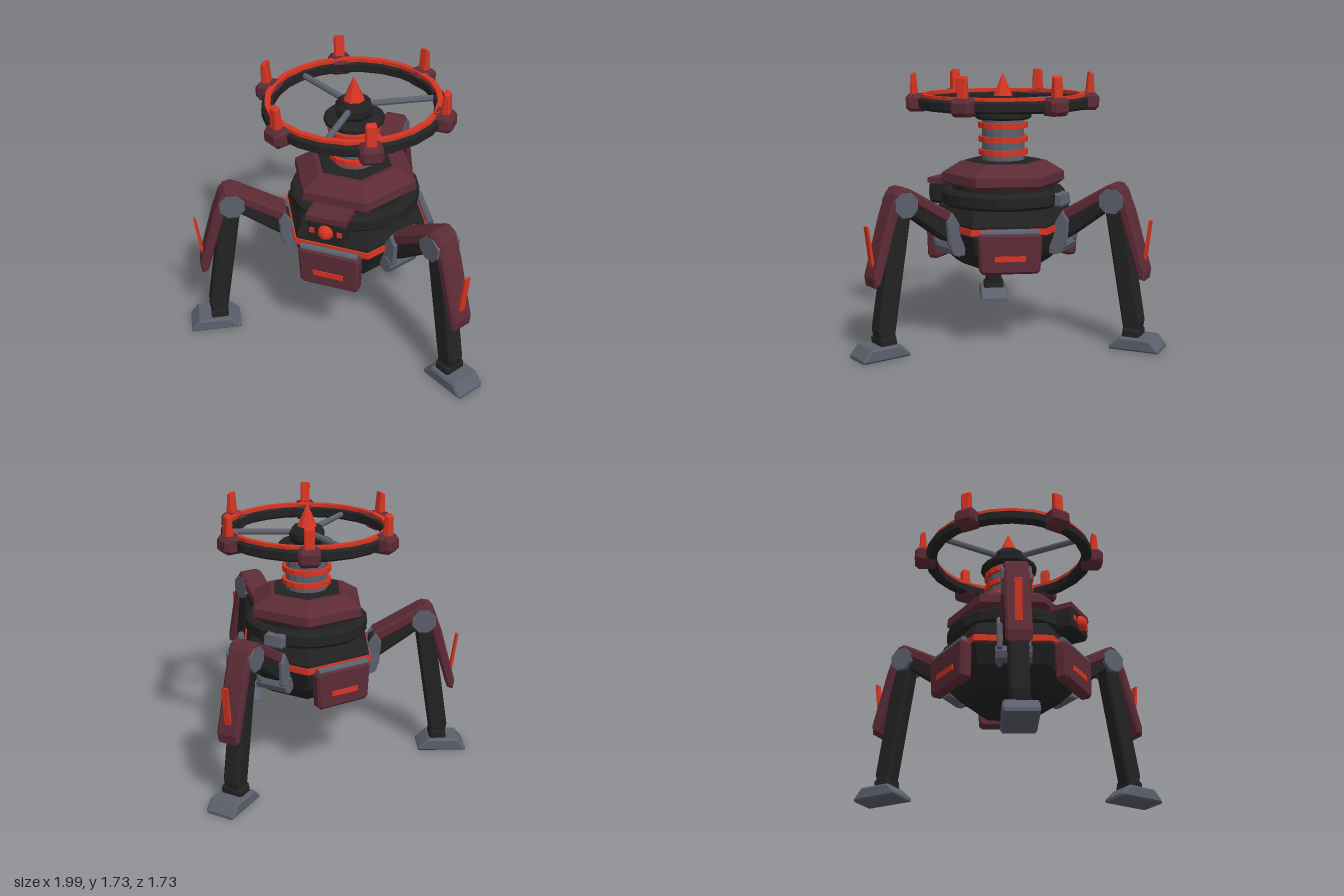
import * as THREE from 'three';

const mat = (name, color) => {
  const m = new THREE.MeshStandardMaterial({ color });
  m.name = name;
  return m;
};

export function createModel() {
  const black = mat('black', 0x222222);
  const grey = mat('steel grey', 0x5c606c);
  const maroon = mat('maroon', 0x5c2b36);
  const red = mat('red', 0xd83522);

  const root = new THREE.Group();
  root.name = 'tripodWalker';
  const body = new THREE.Group();
  body.name = 'body';
  body.position.z = 0.235;
  root.add(body);

  // Faceted mesh helper
  const add = (parent, name, geo, m, x = 0, y = 0, z = 0) => {
    const g = geo.index ? geo.toNonIndexed() : geo;
    g.computeVertexNormals();
    const mesh = new THREE.Mesh(g, m);
    mesh.name = name;
    mesh.position.set(x, y, z);
    parent.add(mesh);
    return mesh;
  };
  const lathe = (pts, sides) => new THREE.LatheGeometry(
    pts.map(([r, y]) => new THREE.Vector2(r, y)), sides, Math.PI / 2);
  // Side profile extruded across z, centred, with chamfered edges
  const slab = (pts, width, b = 0.015) => {
    const g = new THREE.ExtrudeGeometry(
      new THREE.Shape(pts.map(([x, y]) => new THREE.Vector2(x, y))),
      { depth: width - 2 * b, bevelEnabled: b > 0, bevelThickness: b, bevelSize: b, bevelOffset: -b, bevelSegments: 1 });
    return g.translate(0, 0, -width / 2 + b);
  };
  // Group whose local +x points outward at the given angle
  const spoke = (name, angle) => {
    const g = new THREE.Group();
    g.name = name;
    g.rotation.y = angle;
    body.add(g);
    return g;
  };

  // Hull
  add(body, 'belly', lathe([[0, 0.43], [0.26, 0.47], [0.31, 0.5], [0.42, 0.6], [0.465, 0.72], [0.465, 0.79], [0.42, 0.88], [0, 0.88]], 6), black);
  add(body, 'bellyTrim', lathe([[0.44, 0.735], [0.478, 0.735], [0.478, 0.775], [0.44, 0.775]], 6), red);
  add(body, 'waistCore', new THREE.CylinderGeometry(0.34, 0.34, 0.14, 16), black, 0, 0.95);
  add(body, 'collar', lathe([[0.3, 0.88], [0.385, 0.88], [0.405, 0.9], [0.405, 0.965], [0.385, 0.985], [0.3, 0.985]], 20), black);
  add(body, 'domeArmour', lathe([[0, 1.0], [0.365, 1.0], [0.405, 1.03], [0.4, 1.085], [0.28, 1.158], [0, 1.158]], 6), maroon);
  add(body, 'domeTop', lathe([[0, 1.15], [0.25, 1.15], [0.24, 1.166], [0, 1.166]], 6), black);

  // Neck
  add(body, 'neck', new THREE.CylinderGeometry(0.138, 0.138, 0.28, 16), grey, 0, 1.3);
  [1.217, 1.303, 1.392].forEach((y) =>
    add(body, 'neckRing', new THREE.CylinderGeometry(0.162, 0.162, 0.035, 16), red, 0, y));
  add(body, 'neckCap', lathe([[0, 1.43], [0.17, 1.43], [0.185, 1.442], [0.185, 1.463], [0.17, 1.476], [0, 1.476]], 16), black);
  add(body, 'hub', lathe([[0, 1.47], [0.1, 1.47], [0.12, 1.5], [0.12, 1.54], [0.09, 1.58], [0, 1.58]], 8), black);
  add(body, 'beacon', new THREE.ConeGeometry(0.066, 0.15, 8), red, 0, 1.655);

  // Antenna ring
  add(body, 'ring', lathe([[0.485, 1.515], [0.505, 1.5], [0.535, 1.5], [0.555, 1.515], [0.555, 1.562], [0.535, 1.577], [0.505, 1.577], [0.485, 1.562], [0.485, 1.515]], 24), black);
  add(body, 'ringStripe', lathe([[0.5, 1.57], [0.535, 1.57], [0.535, 1.597], [0.5, 1.597], [0.5, 1.57]], 24), red);
  for (let i = 0; i < 6; i++) {
    const node = spoke('ringNode', i * Math.PI / 3);
    add(node, 'nodeBlock', slab([[0.51, 1.485], [0.6, 1.485], [0.625, 1.51], [0.625, 1.57], [0.6, 1.597], [0.51, 1.597], [0.485, 1.57], [0.485, 1.51]], 0.135, 0.02), maroon);
    add(node, 'nodeFin', slab([[0.543, 1.58], [0.598, 1.58], [0.592, 1.715], [0.575, 1.73], [0.558, 1.73]], 0.064, 0.008), red);
  }

  // Three faces carry spokes and hanging panels, the other three carry legs
  [-Math.PI / 2, Math.PI / 6, Math.PI * 5 / 6].forEach((a) => {
    const s = spoke('ringSpoke', a);
    add(s, 'spokeRod', new THREE.CylinderGeometry(0.02, 0.02, 0.44, 8).rotateZ(Math.PI / 2), grey, 0.29, 1.54);

    const p = spoke('bellyPanel', a);
    const outline = [[-0.17, 0.5], [0.17, 0.5], [0.19, 0.52], [0.2, 0.73], [0.18, 0.755], [-0.18, 0.755], [-0.2, 0.73], [-0.19, 0.52]];
    add(p, 'panelPlate', slab(outline, 0.08).rotateY(Math.PI / 2), maroon, 0.435);
    add(p, 'panelHinge', new THREE.CylinderGeometry(0.022, 0.022, 0.37, 8).rotateX(Math.PI / 2), grey, 0.445, 0.757);
    add(p, 'panelStripe', new THREE.BoxGeometry(0.009, 0.034, 0.195), red, 0.478, 0.6);
  });

  [Math.PI / 2, -Math.PI / 6, -Math.PI * 5 / 6].forEach((a) => {
    const leg = spoke('leg', a);
    // Hip bracket
    [-1, 1].forEach((s) => add(leg, 'hipCheek',
      slab([[0.365, 0.582], [0.42, 0.585], [0.485, 0.66], [0.495, 0.81], [0.455, 0.87], [0.41, 0.8], [0.365, 0.7]], 0.035, 0.008), grey, 0, 0, s * 0.085));
    add(leg, 'hipAxle', new THREE.CylinderGeometry(0.055, 0.055, 0.22, 8).rotateX(Math.PI / 2), grey, 0.42, 0.64);
    // Thigh
    add(leg, 'thigh', slab([[0.4, 0.64], [0.5, 0.7], [0.75, 0.885], [0.75, 0.99], [0.42, 0.82]], 0.125), black);
    add(leg, 'thighArmour', slab([[0.44, 0.865], [0.46, 0.79], [0.72, 0.945], [0.8, 0.96], [0.83, 1.02], [0.775, 1.056], [0.74, 1.042]], 0.165), maroon);
    // Knee
    add(leg, 'knee', new THREE.CylinderGeometry(0.083, 0.083, 0.175, 8).rotateY(Math.PI / 8).rotateX(Math.PI / 2), grey, 0.775, 0.947);
    // Shin
    add(leg, 'shin', slab([[0.86, 0.1], [0.955, 0.1], [0.97, 0.18], [0.84, 0.95], [0.715, 0.95]], 0.115), black);
    add(leg, 'shinArmour', slab([[0.775, 1.056], [0.78, 1.0], [0.83, 0.864], [0.955, 0.467], [0.993, 0.453], [1.002, 0.515], [0.897, 0.877], [0.845, 1.015], [0.815, 1.05]], 0.15), maroon);
    add(leg, 'shinFin', slab([[0.972, 0.585], [0.988, 0.578], [1.018, 0.83], [1.004, 0.83]], 0.042, 0), red);
    // Foot
    add(leg, 'ankle', slab([[0.85, 0.07], [0.965, 0.07], [0.965, 0.12], [0.94, 0.138], [0.86, 0.138]], 0.145, 0.01), black);
    add(leg, 'foot', slab([[0.777, 0], [1.1, 0], [1.1, 0.02], [1.045, 0.085], [0.845, 0.085], [0.777, 0.02]], 0.2, 0.012), grey);
  });

  // Sensor on the front of the collar
  const sensor = new THREE.Group();
  sensor.name = 'sensor';
  body.add(sensor);
  add(sensor, 'sensorHousing', slab([[-0.1, 0.86], [0.1, 0.86], [0.118, 0.88], [0.118, 0.99], [0.1, 1.005], [-0.1, 1.005], [-0.118, 0.99], [-0.118, 0.88]], 0.15), black, 0, 0, 0.42);
  add(sensor, 'sensorBrow', new THREE.BoxGeometry(0.26, 0.035, 0.15), maroon, 0, 1.015, 0.42);
  add(sensor, 'sensorEye', new THREE.SphereGeometry(0.05, 12, 8), red, 0, 0.935, 0.49);
  [-1, 1].forEach((s) =>
    add(sensor, 'sensorLamp', new THREE.BoxGeometry(0.032, 0.034, 0.009), red, s * 0.087, 0.935, 0.497));

  // Rear module on the collar
  add(body, 'rearModule', slab([[-0.45, 0.9], [-0.44, 0.965], [-0.36, 0.975], [-0.36, 0.885], [-0.44, 0.885]].reverse(), 0.14, 0.01).rotateY(-Math.PI / 2), grey);

  return root;
}
